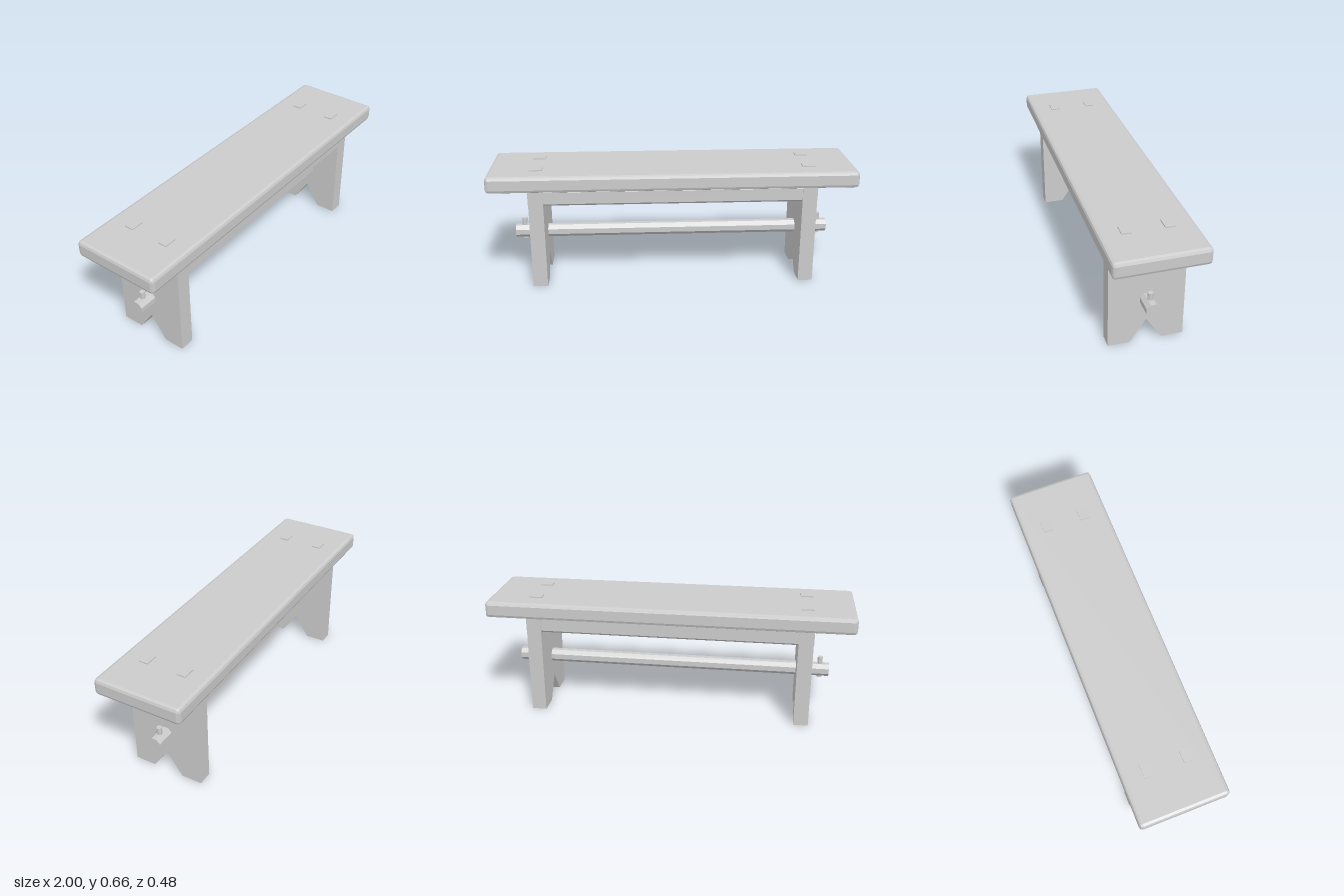
import * as THREE from 'three';
import { RoundedBoxGeometry } from 'three/addons/geometries/RoundedBoxGeometry.js';

const material = new THREE.MeshStandardMaterial({ color: 0xcccccc, flatShading: true });

export function createModel() {
  const bench = new THREE.Group();
  bench.name = 'bench';

  const add = (name, geometry, x = 0, y = 0, z = 0) => {
    const mesh = new THREE.Mesh(geometry, material);
    mesh.name = name;
    mesh.position.set(x, y, z);
    bench.add(mesh);
    return mesh;
  };

  // Extrudes a [z, y] outline along x, centred on x = 0
  const extrudeX = (points, length) => {
    const shape = new THREE.Shape(points.map(([z, y]) => new THREE.Vector2(-z, y)));
    return new THREE.ExtrudeGeometry(shape, { depth: length, bevelEnabled: false })
      .translate(0, 0, -length / 2)
      .rotateY(Math.PI / 2);
  };

  // Rectangle with cut corners, as [z, y] points
  const cutRect = (w, h, c) => [
    [-w, -h + c], [-w + c, -h], [w - c, -h], [w, -h + c],
    [w, h - c], [w - c, h], [-w + c, h], [-w, h - c],
  ];

  // Seat plank with eased edges
  add('seat', new RoundedBoxGeometry(2, 0.09, 0.484, 1, 0.018), 0, 0.605, 0);

  // Leg board with a V notch at the foot
  const legOutline = [
    [-0.2, 0], [-0.085, 0], [0, 0.13], [0.085, 0], [0.2, 0], [0.2, 0.565], [-0.2, 0.565],
  ];
  const legGeometry = extrudeX(legOutline, 0.08);
  const tenonGeometry = new THREE.BoxGeometry(0.07, 0.1, 0.049);
  const pegGeometry = new THREE.CylinderGeometry(0.0146, 0.0146, 0.12, 8).rotateY(Math.PI / 8);

  for (const [side, s] of [['left', 1], ['right', -1]]) {
    add(`${side}Leg`, legGeometry, s * 0.743, 0, 0);
    add(`${side}Peg`, pegGeometry, s * 0.835, 0.273, 0);
    // Tenons showing through the seat
    for (const [end, z] of [['Front', 0.108], ['Back', -0.108]]) {
      add(`${side}${end}Tenon`, tenonGeometry, s * 0.743, 0.606, z);
    }
  }

  // Long rails under the seat, let into the legs
  const railGeometry = extrudeX(cutRect(0.0175, 0.044, 0.011), 1.57);
  add('frontRail', railGeometry, 0, 0.516, 0.179);
  add('backRail', railGeometry, 0, 0.516, -0.179);

  // Eight-sided stretcher running through both legs
  add('stretcher', extrudeX(cutRect(0.035, 0.035, 0.0205), 1.77), 0, 0.258, 0);

  return bench;
}
